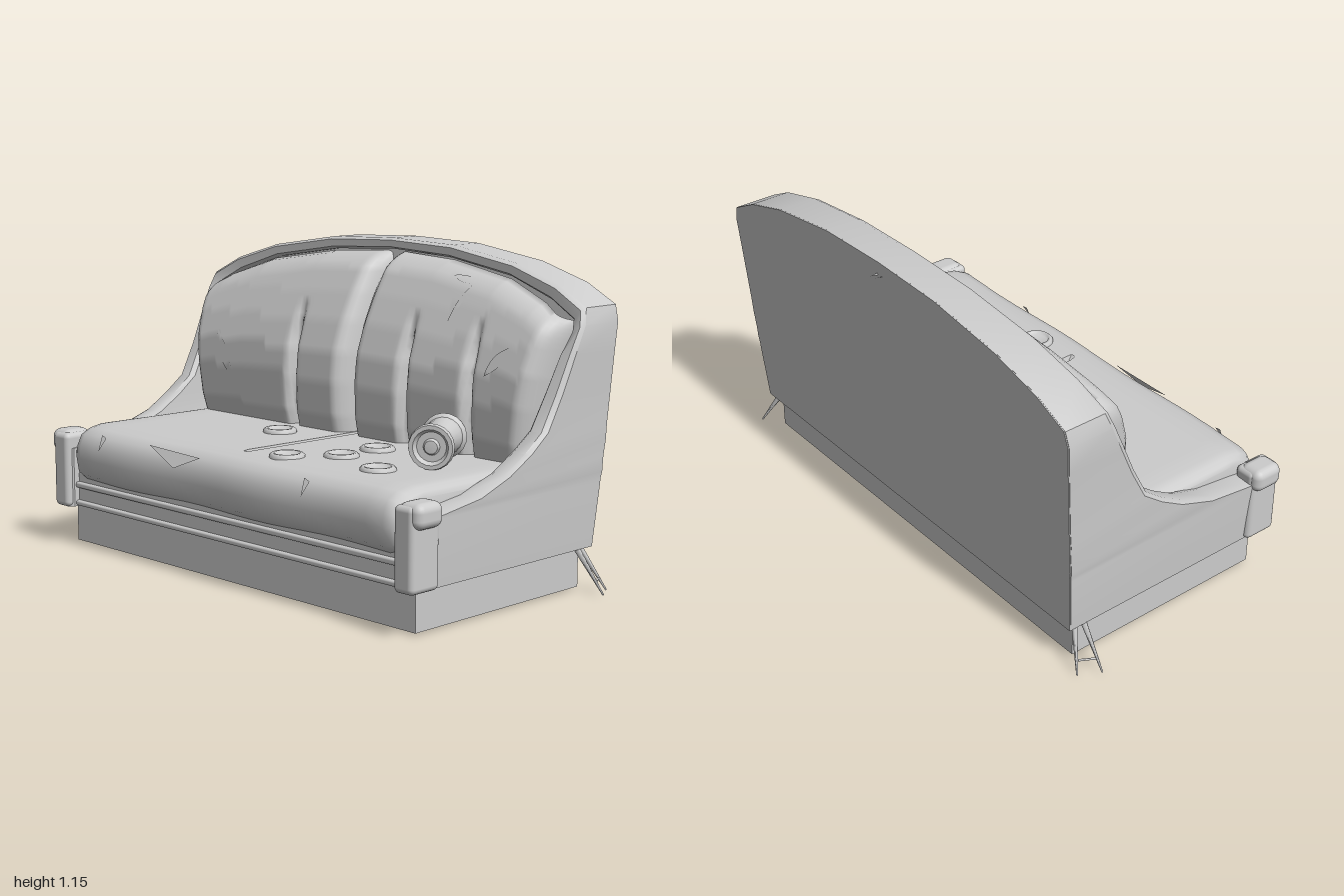
import * as THREE from 'three';
import { toCreasedNormals } from 'three/addons/utils/BufferGeometryUtils.js';
import { RoundedBoxGeometry } from 'three/addons/geometries/RoundedBoxGeometry.js';
import { ParametricGeometry } from 'three/addons/geometries/ParametricGeometry.js';

const mat = new THREE.MeshStandardMaterial({ color: 0xcccccc });
const thin = new THREE.MeshStandardMaterial({ color: 0xcccccc, side: THREE.DoubleSide });

// Linear interpolation in a small [input, output] table
function table(pts, t) {
  for (let i = 1; i < pts.length; i++) {
    const [a, b] = [pts[i - 1], pts[i]];
    if (t <= b[0]) return a[1] + (b[1] - a[1]) * Math.max(0, (t - a[0]) / (b[0] - a[0]));
  }
  return pts[pts.length - 1][1];
}

// Skin over closed cross-sections, with both ends capped
function loft(rings, crease = 0.7) {
  const n = rings[0].length, idx = [];
  for (let i = 0; i < rings.length - 1; i++) {
    for (let j = 0; j < n; j++) {
      const a = i * n + j, b = i * n + (j + 1) % n;
      idx.push(a, b, b + n, a, b + n, a + n);
    }
  }
  const end = (rings.length - 1) * n;
  for (let j = 1; j < n - 1; j++) idx.push(0, j + 1, j, end, end + j, end + j + 1);
  const g = new THREE.BufferGeometry();
  g.setAttribute('position', new THREE.Float32BufferAttribute(rings.flat(2), 3));
  g.setIndex(idx);
  return toCreasedNormals(g, crease);
}

// Frame: outer x, outer y, inner x, inner y, front z, from arm foot to crown
const FRAME = [
  [.90, .15, .83, .15, .49], [.915, .37, .83, .37, .49], [.915, .385, .83, .39, .36],
  [.92, .41, .83, .41, .2], [.92, .46, .84, .46, .06], [.925, .52, .845, .52, -.04],
  [.925, .58, .85, .58, -.12], [.93, .70, .86, .70, -.185], [.935, .82, .875, .82, -.24],
  [.94, .92, .89, .89, -.285], [.925, .975, .88, .93, -.305], [.8, 1.04, .77, .99, -.32],
  [.6, 1.10, .58, 1.055, -.335], [.3, 1.145, .29, 1.10, -.35], [0, 1.155, 0, 1.115, -.355],
];
const mirrored = [...FRAME.map(([a, b, c, d, z]) => [-a, b, -c, d, z]), ...FRAME.slice(0, -1).reverse()];
const backZ = y => -.42 - .08 * (y - .16);

// Back cushion surface: bulging profile, rounded edges, pinched creases
const CUSHION_TOP = [[0, 1.108], [.29, 1.092], [.58, 1.047], [.77, .982], [.89, .92]];
const CUSHION_Z = [[.43, -.14], [.52, -.12], [.65, -.115], [.75, -.125], [.85, -.16], [.95, -.21], [1.05, -.27], [1.11, -.32]];
const CREASES = [-.28, .28, .58];
const round = (d, r) => 1 - Math.sqrt(1 - (1 - THREE.MathUtils.clamp(d / r, 0, 1)) ** 2);
function cushionZ(x, y) {
  const ax = Math.abs(x), outer = .82 + .065 * (y - .43) / .5;
  let z = table(CUSHION_Z, y);
  z -= .14 * round(Math.min(ax - .01, outer - ax), .06);
  z -= .07 * round(table(CUSHION_TOP, ax) - y, .07);
  for (const c of CREASES) {
    const fade = THREE.MathUtils.clamp((.93 - y) / .15, 0, 1);
    z -= .05 * fade * Math.exp(-(((x - c) / .018) ** 2));
  }
  return z;
}

// Seat cross-section as z, y: over the top, down the front, back underneath
const SEAT = [[-.32, .455], [.1, .458], [.33, .46], [.36, .46], [.42, .45], [.46, .43], [.48, .39],
  [.485, .34], [.475, .28], [.44, .25], [-.32, .25]];

export function createModel() {
  const sofa = new THREE.Group();
  sofa.name = 'sofa';
  const add = (name, geo, x = 0, y = 0, z = 0, m = mat) => {
    const mesh = new THREE.Mesh(geo, m);
    mesh.name = name;
    mesh.position.set(x, y, z);
    sofa.add(mesh);
    return mesh;
  };

  // Plinth and body
  add('plinth', new THREE.BoxGeometry(1.74, .15, .81), 0, .085, .025);
  add('body', new RoundedBoxGeometry(1.78, .13, .86, 2, .012), 0, .22, .02);
  add('apronLip', new RoundedBoxGeometry(1.68, .022, .1, 2, .008), 0, .232, .415);
  add('apronTrim', new RoundedBoxGeometry(1.72, .02, .1, 2, .008), 0, .163, .415);

  // Arms, wings and arched crown in one sweep
  add('frame', loft(mirrored.map(([ox, oy, ix, iy, z]) => {
    const mix = t => [ox + (ix - ox) * t, oy + (iy - oy) * t];
    const zb = backZ(oy) + .004;
    return [[ox, oy, zb], [ox, oy, z - .018], [...mix(.2), z], [...mix(.8), z], [ix, iy, z - .018], [ix, iy, zb]];
  }), .6));

  // Leaning back panel
  const arch = new THREE.Shape(mirrored.map(p => new THREE.Vector2(p[0] * .998, p[1])));
  const panel = new THREE.ExtrudeGeometry(arch, { depth: .1, bevelEnabled: false });
  const pp = panel.attributes.position;
  for (let i = 0; i < pp.count; i++) pp.setZ(i, pp.getZ(i) + backZ(pp.getY(i)));
  panel.computeVertexNormals();
  add('backPanel', panel);

  // Arm fronts
  for (const s of [-1, 1]) {
    add('armPost', new RoundedBoxGeometry(.085, .28, .13, 3, .02), s * .877, .288, .436);
    add('armCap', new RoundedBoxGeometry(.1, .085, .12, 3, .03), s * .893, .395, .435);
  }

  // Seat with a central groove and slightly uneven front
  const xs = [-.835, -.828, -.81, -.78];
  for (let x = -.7; x < -.03; x += .08) xs.push(x);
  xs.push(-.014, -.005);
  const all = [...xs, ...xs.map(x => -x).reverse()];
  add('seat', loft(all.map(x => {
    const ax = Math.abs(x), shrink = .035 * round(.835 - ax, .055);
    const wave = .005 * Math.sin(x * 9);
    return SEAT.map(([z, y], i) => [
      x,
      y + (y > .35 ? -shrink : shrink) - (ax < .01 && i < 3 ? .03 : 0),
      z > .4 ? z - shrink + wave : z,
    ]);
  }), .8));

  // Back cushions
  for (const s of [-1, 1]) {
    add(s < 0 ? 'backCushionRight' : 'backCushionLeft', new ParametricGeometry((u, v, p) => {
      const t = s < 0 ? 1 - u : u;
      const k = (1 - Math.cos(Math.PI * v)) / 2;
      const y = .43 + (table(CUSHION_TOP, t * .885) - .43) * k;
      const x = s * (.01 + t * (.81 + .065 * (y - .43) / .5));
      p.set(x, y, cushionZ(x, y));
    }, 64, 28), 0, 0, 0, thin);
  }

  // Tears in the back cushions: pointed slivers lying on the surface
  const tears = [[-.7, .78, -.6, .6, .045], [.66, .74, .74, .84, .04], [.38, 1.05, .5, 1.03, .02],
    [.49, 1.03, .44, .9, .02], [.04, 1.02, .03, .82, .012]];
  for (const [x0, y0, x1, y1, w] of tears) {
    const len = Math.hypot(x1 - x0, y1 - y0);
    add('tear', new ParametricGeometry((u, v, p) => {
      const off = w * Math.sin(Math.PI * u) * (v - .5);
      const x = x0 + (x1 - x0) * u - (y1 - y0) / len * off;
      const y = y0 + (y1 - y0) * u + (x1 - x0) / len * off;
      p.set(x, y, cushionZ(x, y) + .004);
    }, 12, 4), 0, 0, 0, thin);
  }

  // Ripped edge flaps along the seat front
  for (const [x, w] of [[-.65, .03], [-.25, .28], [.42, .03]]) {
    const flap = new THREE.Shape([[-w / 2, .02], [w / 2, .01], [w * .1, -.045]].map(p => new THREE.Vector2(...p)));
    const m = add('seatTear', new THREE.ShapeGeometry(flap), x, .425, .474, thin);
    m.rotation.x = -.55;
  }

  // Small rimmed discs lying on the seat
  const disc = [[0, 0], [.04, 0], [.044, .012], [.054, .012], [.062, .004], [.062, -.008]];
  for (const [x, z] of [[-.2, .01], [.295, .01], [.295, .185], [.17, .32], [.545, .265]]) {
    add('disc', new THREE.LatheGeometry(disc.map(p => new THREE.Vector2(...p)), 20), x, .461, z, thin);
  }

  // Waisted canister lying on its side
  const can = [[0, -.112], [.05, -.112], [.06, -.122], [.074, -.122], [.078, -.105], [.066, -.092], [.064, -.06],
    [.053, -.015], [.053, .015], [.064, .06], [.066, .092], [.078, .105], [.074, .122], [.06, .122],
    [.05, .105], [.028, .105], [.022, .116], [0, .118]];
  const canister = add('canister', toCreasedNormals(
    new THREE.LatheGeometry(can.map(p => new THREE.Vector2(...p)), 20), .6), .603, .533, .04, thin);
  canister.quaternion.setFromUnitVectors(new THREE.Vector3(0, 1, 0), new THREE.Vector3(.51, 0, .86).normalize());

  // Splayed spikes under the rear corners
  const spike = (a, b, r0, r1) => {
    const A = new THREE.Vector3(...a), B = new THREE.Vector3(...b), d = B.clone().sub(A);
    const m = add('rearSpike', new THREE.CylinderGeometry(r1, r0, d.length(), 5));
    m.position.copy(A).addScaledVector(d, .5);
    m.quaternion.setFromUnitVectors(new THREE.Vector3(0, 1, 0), d.normalize());
  };
  for (const s of [-1, 1]) {
    spike([s * .88, .16, -.35], [s * .998, .008, -.358], .012, .003);
    spike([s * .87, .16, -.375], [s * .955, .004, -.43], .012, .003);
    spike([s * .965, .045, -.357], [s * .935, .045, -.41], .004, .004);
  }
  return sofa;
}
